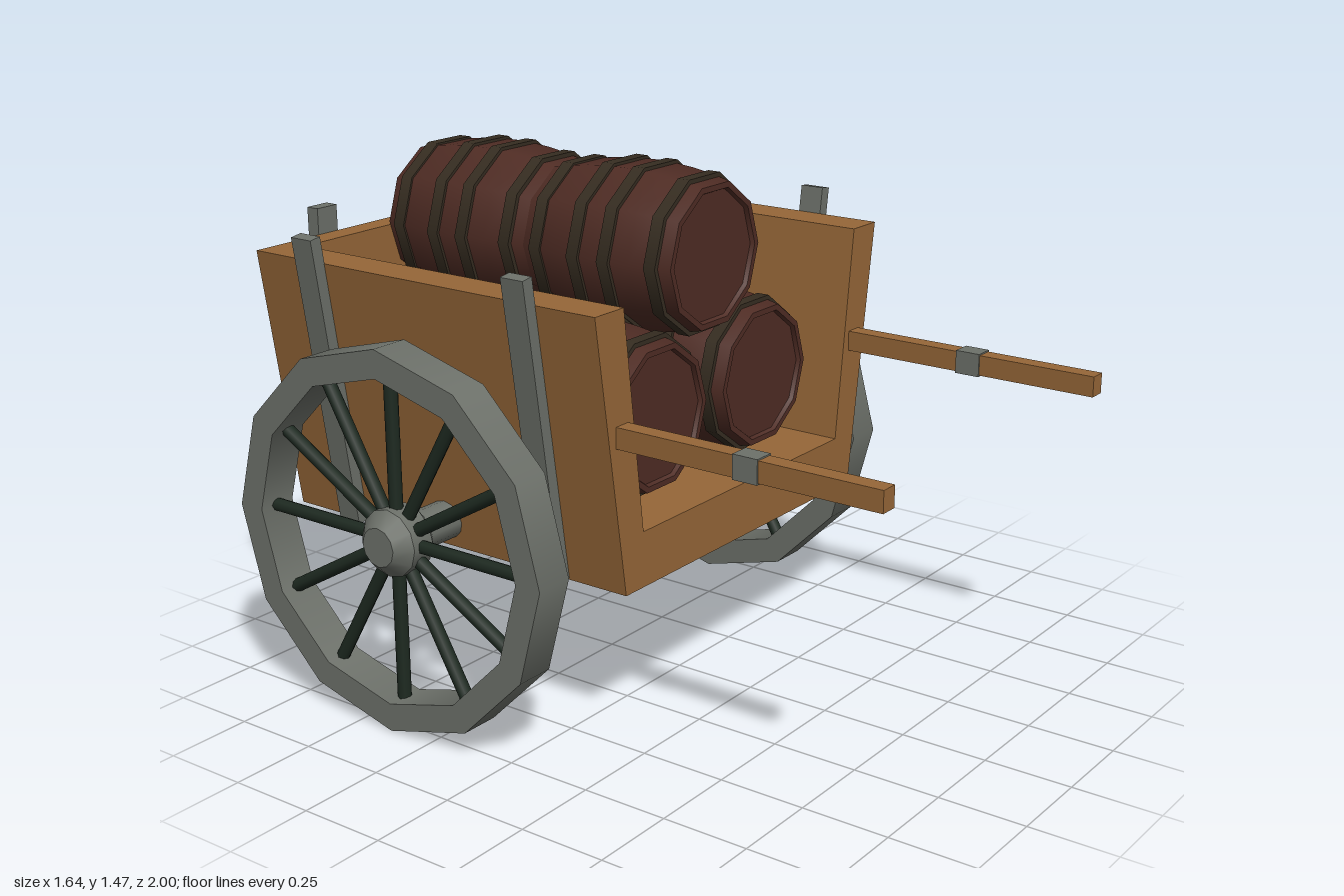
import * as THREE from 'three';

const mat = (name, color) => {
  const m = new THREE.MeshStandardMaterial({ color });
  m.name = name;
  return m;
};

export function createModel() {
  const wood = mat('cart wood', 0x966738);
  const iron = mat('grey iron', 0x6d716a);
  const stave = mat('barrel wood', 0x4f2c24);
  const hoopMat = mat('barrel hoop', 0x362d21);
  const spokeMat = mat('dark spoke', 0x1e2a21);

  const cart = new THREE.Group();
  cart.name = 'barrelCart';

  const add = (parent, name, geo, material, x = 0, y = 0, z = 0) => {
    const mesh = new THREE.Mesh(geo, material);
    mesh.name = name;
    mesh.position.set(x, y, z);
    parent.add(mesh);
    return mesh;
  };
  const prism = (pts, depth) => new THREE.ExtrudeGeometry(
    new THREE.Shape(pts.map(p => new THREE.Vector2(...p))), { depth, bevelEnabled: false });
  // Turned part; each [radius, height] corner is doubled to keep it sharp
  const turned = (pts, sides, phase = 0) => new THREE.LatheGeometry(
    pts.flatMap((p, i) => {
      const v = new THREE.Vector2(p[0], p[1]);
      return i === 0 || i === pts.length - 1 || p[2] ? [v] : [v, v.clone()];
    }), sides, phase);
  const ring = (inner, outer, h, sides, phase) => turned(
    [[inner, -h], [outer, -h], [outer, h], [inner, h], [inner, -h]], sides, phase);

  // Open-fronted body with flared sides, and its tailboard
  add(cart, 'floorAndSides', prism([
    [-0.54, 0.46], [0.54, 0.46], [0.655, 1.23], [0.54, 1.23],
    [0.465, 0.615], [-0.465, 0.615], [-0.54, 1.23], [-0.655, 1.23]], 1.115), wood, 0, 0, -0.89);
  add(cart, 'tailboard', prism([
    [-0.54, 0.46], [0.54, 0.46], [0.655, 1.23], [-0.655, 1.23]], 0.07), wood, 0, 0, -0.96);

  // Wheel parts, turned about x
  const rimGeo = ring(0.46, 0.54, 0.0575, 12).rotateZ(-Math.PI / 2);
  const hubGeo = turned([[0, -0.075], [0.055, -0.075], [0.095, -0.035],
    [0.095, 0.035], [0.055, 0.075], [0, 0.075]], 12).rotateZ(-Math.PI / 2);
  const spokeGeo = new THREE.CylinderGeometry(0.019, 0.019, 0.4, 8).translate(0, 0.26, 0);

  for (const s of [-1, 1]) {
    const side = s > 0 ? 'left' : 'right';

    // Wheel
    const wheel = new THREE.Group();
    wheel.name = side + 'Wheel';
    wheel.position.set(s * 0.744, 0.54, -0.385);
    add(wheel, 'rim', rimGeo, iron);
    add(wheel, 'hub', hubGeo, iron);
    for (let i = 0; i < 12; i++) {
      add(wheel, 'spoke', spokeGeo, spokeMat).rotation.x = i * Math.PI / 6;
    }
    cart.add(wheel);

    // Slanted side posts and upright back post
    for (const z of [0, -0.735]) {
      add(cart, side + 'SidePost', new THREE.BoxGeometry(0.036, 0.85, 0.073),
        iron, s * 0.62, 0.883, z).rotation.z = -s * 0.148;
    }
    add(cart, side + 'BackPost', new THREE.BoxGeometry(0.075, 0.845, 0.04),
      iron, s * 0.382, 0.8825, -0.98);

    // Pulling shaft with its band
    add(cart, side + 'Shaft', new THREE.BoxGeometry(0.05, 0.058, 0.78), wood, s * 0.551, 0.9, 0.61);
    add(cart, side + 'ShaftBand', new THREE.BoxGeometry(0.058, 0.066, 0.073), iron, s * 0.551, 0.9, 0.617);
  }

  add(cart, 'axle', new THREE.CylinderGeometry(0.055, 0.055, 1.4, 12).rotateZ(Math.PI / 2),
    iron, 0, 0.54, -0.385);

  // Barrel: bulging staves with recessed ends, four hoops
  const half = 0.2525;
  const bulge = z => 0.205 + 0.03 * (1 - (z / half) ** 2);
  const profile = [[0, -half + 0.012], [0.183, -half + 0.012], [0.188, -half], [0.205, -half]];
  for (let i = 1; i < 8; i++) {
    const z = -half + i * half / 4;
    profile.push([bulge(z), z, true]);
  }
  profile.push([0.205, half], [0.188, half], [0.183, half - 0.012], [0, half - 0.012]);
  const barrelGeo = turned(profile, 10, Math.PI / 2).rotateX(Math.PI / 2);
  const hoops = [-0.197, -0.052, 0.052, 0.197].map(z => {
    const r = bulge(z);
    return ring(r - 0.015, r + 0.009, 0.019, 10, Math.PI / 2).rotateX(Math.PI / 2).translate(0, 0, z);
  });

  // Two stacks of three barrels
  for (const z of [-0.1325, -0.6375]) {
    for (const [x, y] of [[-0.245, 0.846], [0.245, 0.846], [0, 1.24]]) {
      const barrel = new THREE.Group();
      barrel.name = 'barrel';
      barrel.position.set(x, y, z);
      add(barrel, 'staves', barrelGeo, stave);
      hoops.forEach(g => add(barrel, 'hoop', g, hoopMat));
      cart.add(barrel);
    }
  }

  return cart;
}
